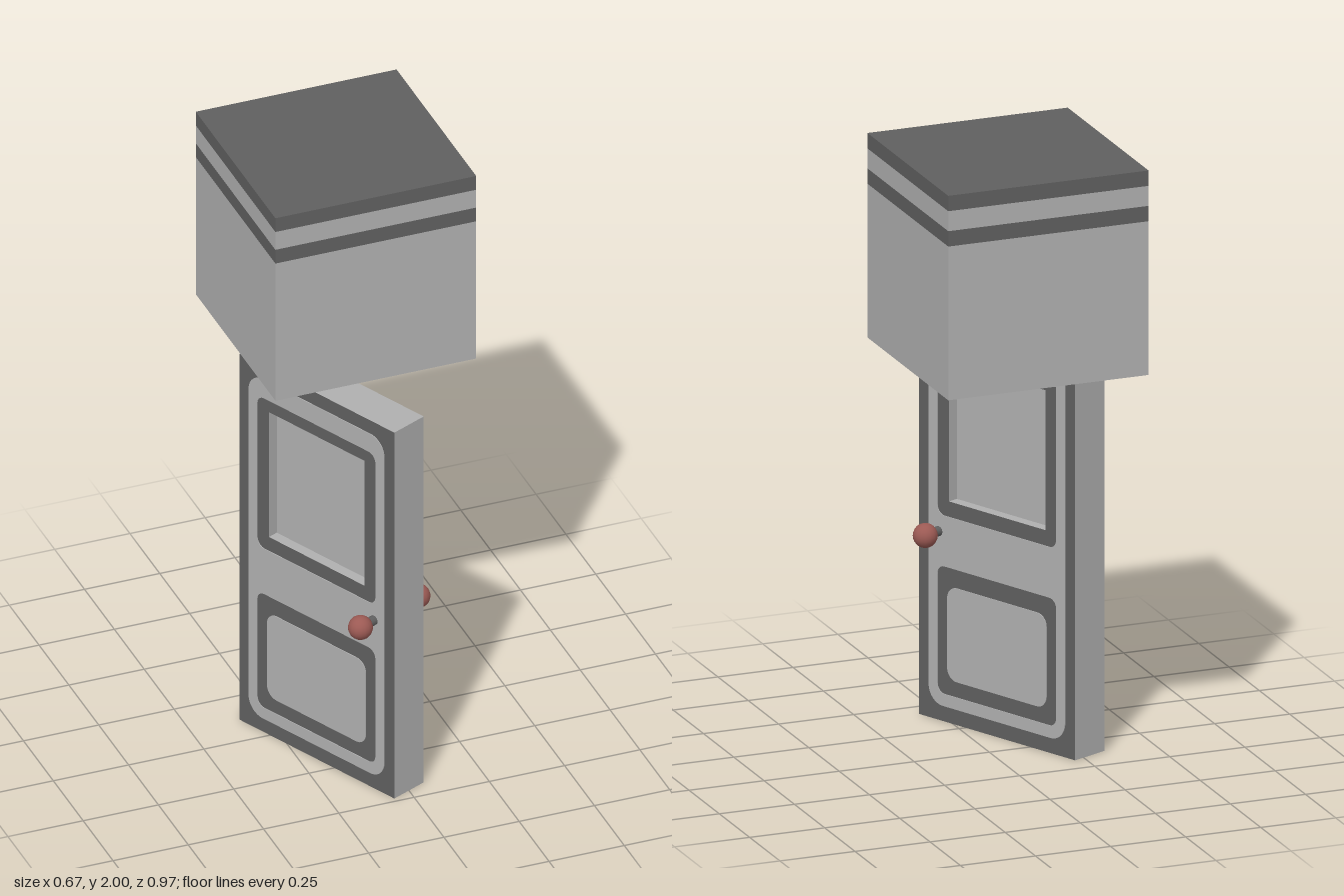
import * as THREE from 'three';

const light = new THREE.MeshStandardMaterial({ name: 'light grey', color: 0xb0b0b0 });
const dark = new THREE.MeshStandardMaterial({ name: 'dark grey', color: 0x606060 });
const red = new THREE.MeshStandardMaterial({ name: 'dull red', color: 0x9c5a54 });

function add(parent, name, geometry, material, x = 0, y = 0, z = 0) {
  const mesh = new THREE.Mesh(geometry, material);
  mesh.name = name;
  mesh.position.set(x, y, z);
  parent.add(mesh);
  return mesh;
}

// Upright rectangle centred on x = 0 with rounded corners of radius r
function rect(halfWidth, y0, y1, r = 0, Type = THREE.Shape) {
  const w = halfWidth, s = new Type();
  if (r === 0) {
    s.moveTo(-w, y0).lineTo(w, y0).lineTo(w, y1).lineTo(-w, y1).closePath();
    return s;
  }
  s.absarc(w - r, y0 + r, r, -Math.PI / 2, 0);
  s.absarc(w - r, y1 - r, r, 0, Math.PI / 2);
  s.absarc(-w + r, y1 - r, r, Math.PI / 2, Math.PI);
  s.absarc(-w + r, y0 + r, r, Math.PI, Math.PI * 1.5);
  s.closePath();
  return s;
}

function extrude(shape, depth) {
  const g = new THREE.ExtrudeGeometry(shape, { depth, bevelEnabled: false, curveSegments: 6 });
  return g.translate(0, 0, -depth / 2);
}

function buildBlock() {
  // Cube made of stacked bands
  const block = new THREE.Group();
  block.name = 'bandedBlock';
  const bands = [
    ['blockBody', 1.335, 1.835, light],
    ['lowerStripe', 1.835, 1.885, dark],
    ['middleBand', 1.885, 1.95, light],
    ['topStripe', 1.95, 2, dark],
  ];
  for (const [name, y0, y1, material] of bands) {
    add(block, name, new THREE.BoxGeometry(0.667, y1 - y0, 0.667), material, 0, (y0 + y1) / 2, -0.154);
  }
  return block;
}

function buildDoor() {
  const door = new THREE.Group();
  door.name = 'door';
  const thickness = 0.131, height = 1.333;

  // Slab with a window opening: dark faces, light edges
  const slab = rect(0.332, 0, height);
  slab.holes.push(rect(0.205, 0.72, 1.175, 0, THREE.Path));
  add(door, 'doorSlab', extrude(slab, thickness), [dark, light]);

  // Recessed pane closing the opening
  add(door, 'windowPane', new THREE.BoxGeometry(0.42, 0.465, 0.061), light, 0, 0.9475, 0);

  // Light face trim, leaving dark surrounds for the window and lower panel
  const trim = rect(0.29, 0.05, 1.285, 0.06);
  trim.holes.push(rect(0.253, 0.67, 1.218, 0.03, THREE.Path));
  trim.holes.push(rect(0.253, 0.09, 0.505, 0.03, THREE.Path));
  const trimGeometry = extrude(trim, 0.003);
  const panelGeometry = extrude(rect(0.211, 0.14, 0.445, 0.04), 0.003);
  const knobGeometry = new THREE.SphereGeometry(0.039, 16, 12);

  for (const side of [-1, 1]) {
    const z = side * (thickness / 2 + 0.001);
    add(door, 'faceTrim', trimGeometry, light, 0, 0, z);
    add(door, 'lowerPanel', panelGeometry, light, 0, 0, z);
    add(door, 'knob', knobGeometry, red, 0.247, 0.615, side * 0.128);
  }

  // Spindle joining both knobs
  const spindle = add(door, 'knobSpindle', new THREE.CylinderGeometry(0.016, 0.016, 0.22, 12), dark, 0.247, 0.615, 0);
  spindle.rotation.x = Math.PI / 2;

  door.position.set(-0.1375, 0, 0.155);
  door.rotation.y = -1.143;
  return door;
}

export function createModel() {
  const model = new THREE.Group();
  model.name = 'doorWithBlock';
  model.add(buildBlock(), buildDoor());
  return model;
}
